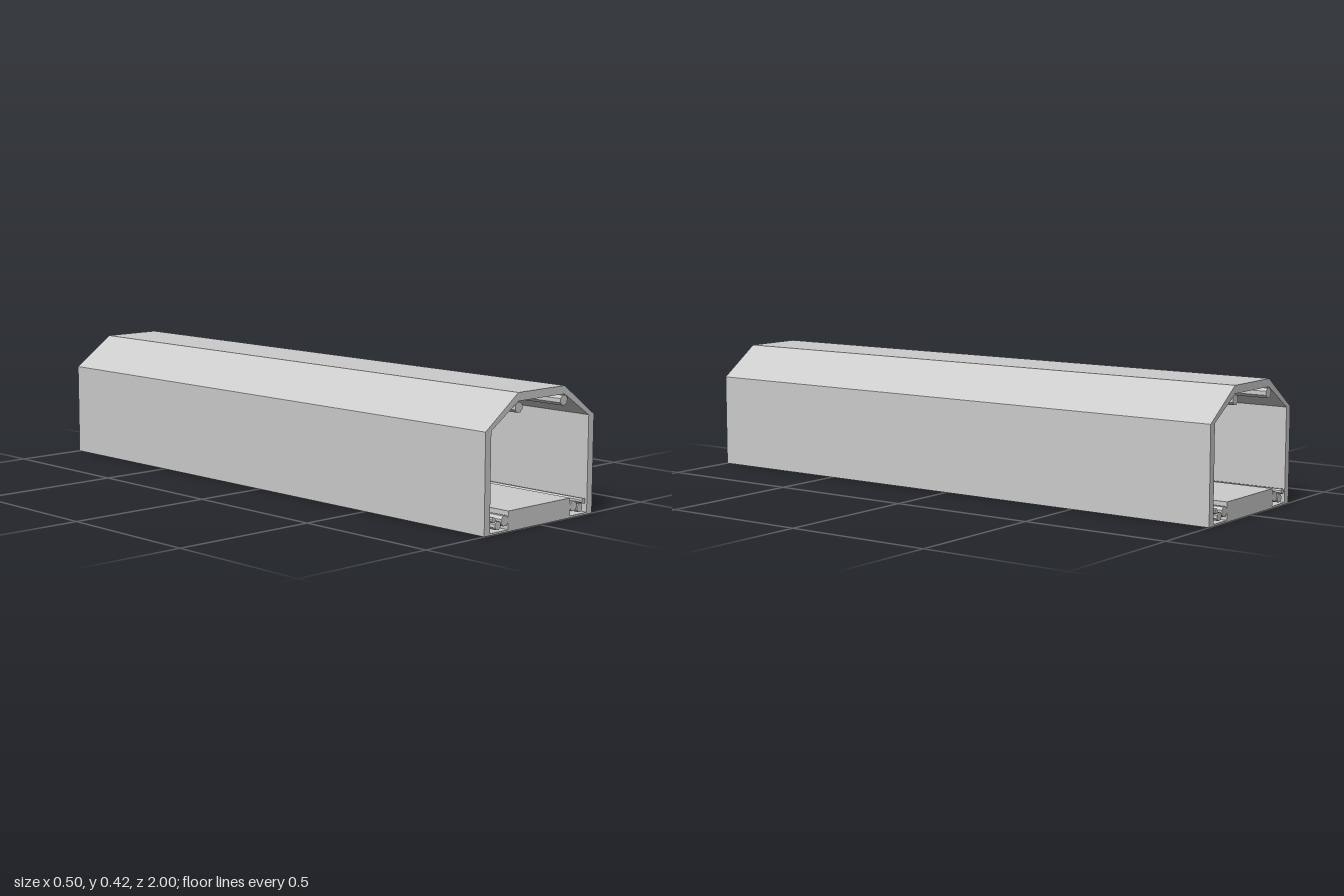
import * as THREE from 'three';

const LENGTH = 2;
const material = new THREE.MeshStandardMaterial({ color: 0xcccccc, flatShading: true });

function add(group, name, geometry, x = 0, y = 0) {
  const mesh = new THREE.Mesh(geometry, material);
  mesh.name = name;
  mesh.position.set(x, y, 0);
  group.add(mesh);
}

// Closed tunnel outline: vertical walls, sloping shoulders, flat roof
function outline(halfWidth, bottom, roof) {
  const half = [[halfWidth, bottom], [halfWidth, 0.314], [0.107, roof]];
  const mirrored = half.map(([x, y]) => [-x, y]).reverse();
  return [...half, ...mirrored].map(([x, y]) => new THREE.Vector2(x, y));
}

export function createModel() {
  const group = new THREE.Group();
  group.name = 'tunnelSection';

  // Hollow shell, open at both ends, with a thin floor
  const profile = new THREE.Shape(outline(0.251, 0, 0.417));
  profile.holes.push(new THREE.Path(outline(0.226, 0.006, 0.391)));
  const shell = new THREE.ExtrudeGeometry(profile, { depth: LENGTH, bevelEnabled: false });
  shell.translate(0, 0, -LENGTH / 2);
  add(group, 'tunnelShell', shell);

  // Raised walkway along the middle
  add(group, 'walkway', new THREE.BoxGeometry(0.289, 0.058, LENGTH), 0, 0.034);

  // Pipes running the full length, mirrored on both sides
  const pipes = [
    ['roofPipe', 0.1045, 0.372, 0.017],
    ['largeFloorPipe', 0.16, 0.035, 0.017],
    ['mediumFloorPipe', 0.191, 0.025, 0.014],
    ['smallFloorPipe', 0.21, 0.044, 0.0088],
  ];
  for (const [name, x, y, radius] of pipes) {
    const pipe = new THREE.CylinderGeometry(radius, radius, LENGTH, 8);
    pipe.rotateY(Math.PI / 8).rotateX(Math.PI / 2);
    add(group, name + 'Left', pipe, x, y);
    add(group, name + 'Right', pipe, -x, y);
  }

  return group;
}
